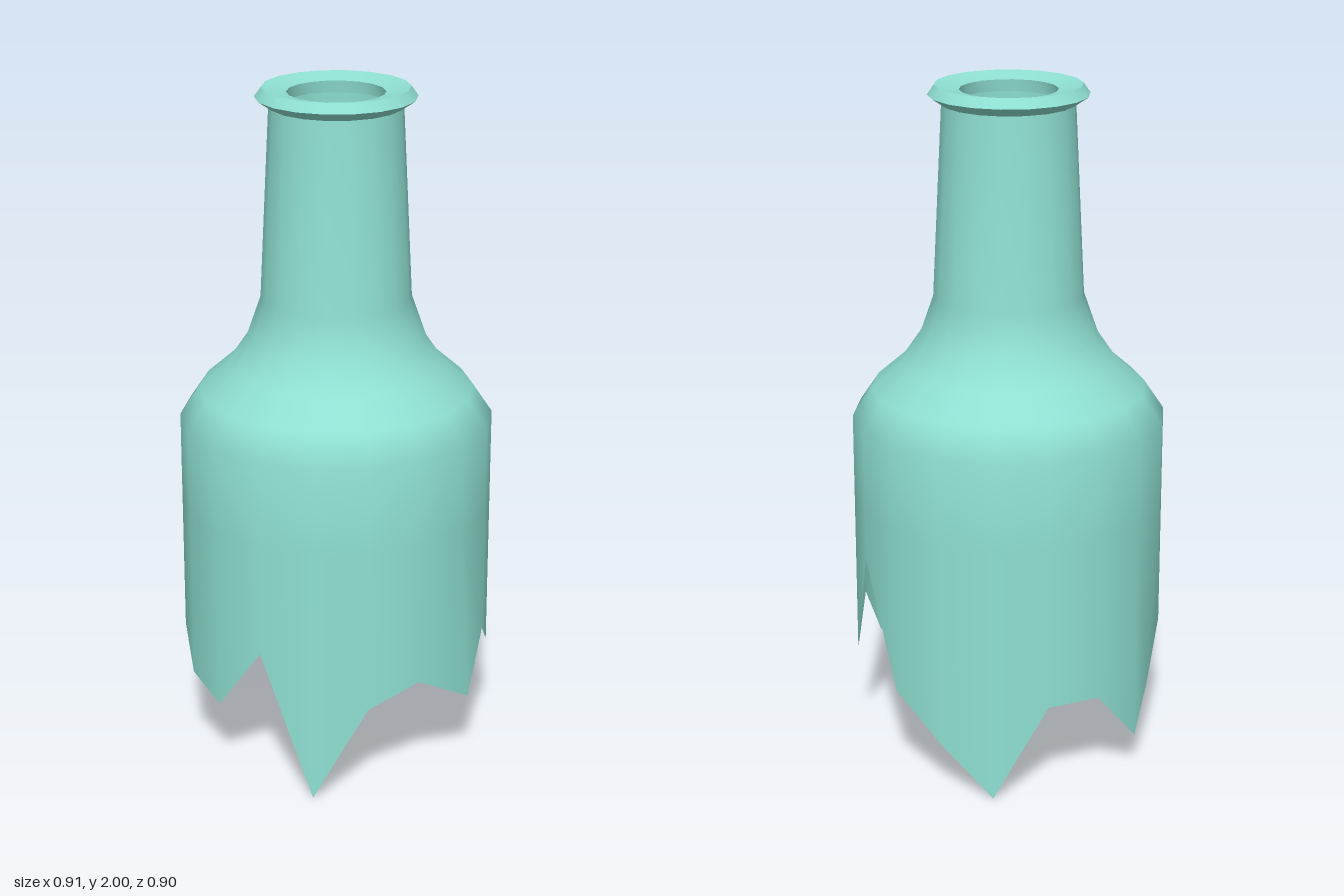
import * as THREE from 'three';
import { toCreasedNormals } from 'three/addons/utils/BufferGeometryUtils.js';

const SIDES = 18;

// Lathe from [radius, height] pairs, with a corner on the +x axis
function turn(profile) {
  const points = profile.map(([r, y]) => new THREE.Vector2(r, y));
  return new THREE.LatheGeometry(points, SIDES, Math.PI / 2);
}

export function createModel() {
  const model = new THREE.Group();
  model.name = 'brokenBottle';
  const glass = new THREE.MeshStandardMaterial({ color: 0x8fe0d2, side: THREE.DoubleSide });

  // Body, shoulder and neck, from the broken edge upward
  const profile = [
    [0.457, 0], [0.457, 0.77], [0.457, 1.03], [0.4, 1.115], [0.315, 1.19],
    [0.26, 1.27], [0.218, 1.39], [0.19, 1.95],
  ];
  const bodyGeometry = turn(profile);

  // Jagged break: height of each corner, running from +x towards -z
  const breakHeights = [
    0.225, 0.4, 0.285, 0.64, 0.28, 0.155, 0, 0.285, 0.285,
    0.11, 0.225, 0.35, 0.265, 0.23, 0.44, 0, 0.285, 0.345,
  ];
  const position = bodyGeometry.attributes.position;
  for (let i = 0; i <= SIDES; i++) {
    const corner = i % SIDES;
    const v = i * profile.length;
    position.setY(v, breakHeights[corner]);
    // Two corners of the break lie off the regular spacing
    if (corner === 0) position.setZ(v, -0.05);
    if (corner === 10) position.setZ(v, 0.105);
  }
  const body = new THREE.Mesh(bodyGeometry, glass);
  body.name = 'brokenBody';
  model.add(body);

  // Flared lip, dipping into the mouth
  const lipGeometry = toCreasedNormals(
    turn([[0.19, 1.945], [0.23, 1.972], [0.21, 2], [0.14, 1.985], [0.145, 1.95]]), 0.5);
  const lip = new THREE.Mesh(lipGeometry, glass);
  lip.name = 'lip';
  model.add(lip);

  return model;
}
